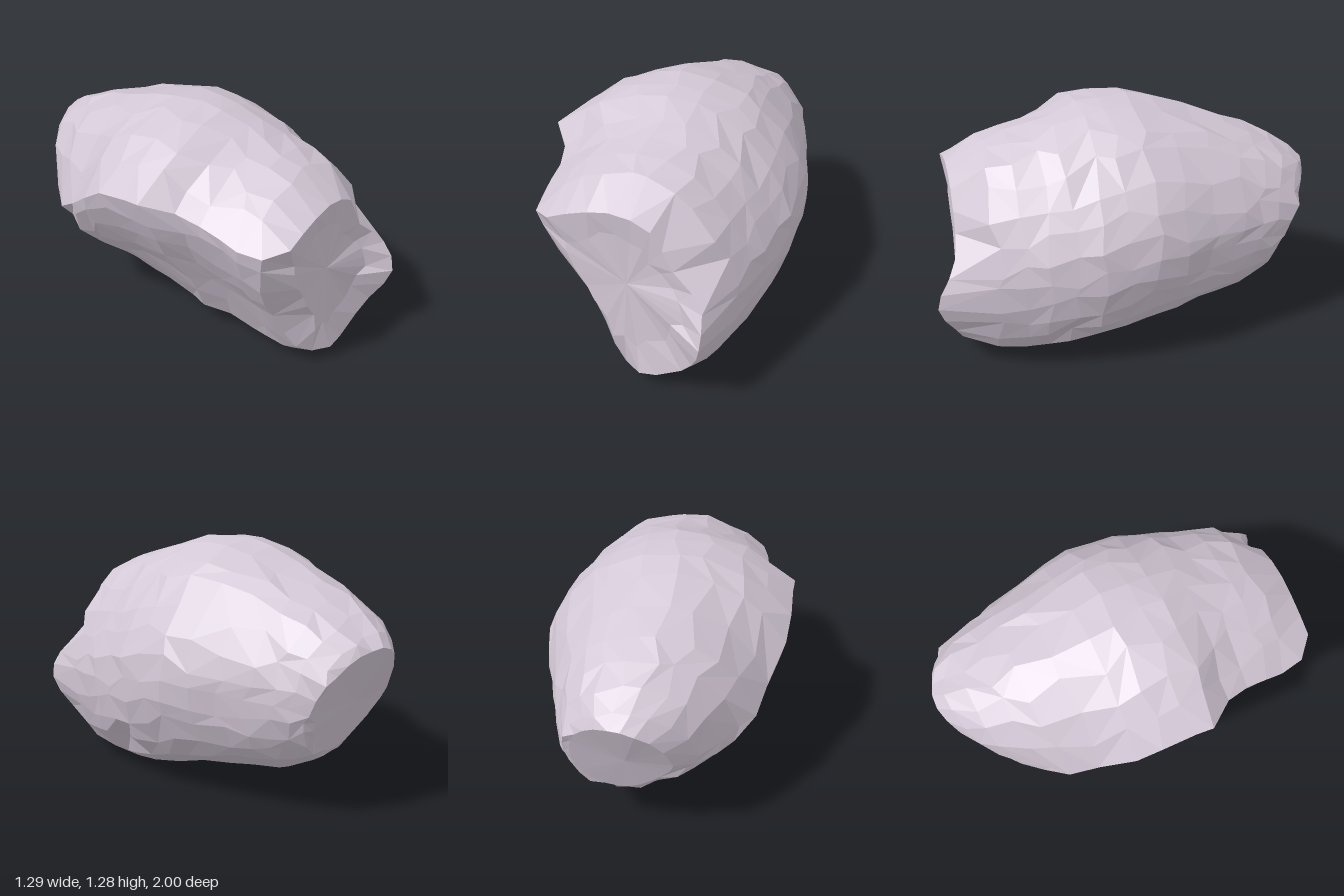
import * as THREE from 'three';

// Cross-section in 0..1, counter-clockwise seen from the front:
// rounded on the right and top, straight cut along the lower left
const FRONT_OUTLINE = [
  [1, .47], [.995, .56], [.955, .66], [.88, .78], [.8, .87], [.7, .945], [.58, .985], [.46, 1], [.34, .98],
  [.22, .94], [.11, .865], [0, .785], [.02, .71], [.085, .58], [.16, .46], [.245, .345], [.34, .18],
  [.41, .06], [.5, .004], [.6, 0], [.7, .015], [.85, .1], [.92, .19], [.968, .29], [.992, .38]
];

// Towards the rear the cut side swells into a round flank and the upper right fills out
const SHOULDER = [[.97, .68], [.91, .8], [.82, .89], [.71, .955]];
const FLANK = [
  [.33, .96], [.2, .88], [.08, .73], [0, .5], [.03, .4], [.09, .32],
  [.15, .25], [.23, .17], [.33, .09], [.42, .035], [.52, 0]
];
const REAR_OUTLINE = FRONT_OUTLINE.map((p, i) => SHOULDER[i - 2] ?? FLANK[i - 8] ?? p);
const CORNER = 11;

// Sections: z at top, z at bottom, xMin, xMax, yMin, yMax, share of the rear outline
const SECTIONS = [
  [-1.01, -.77, -.1, .4, .36, .9, 1],
  [-.93, -.71, -.22, .44, .31, .96, 1],
  [-.82, -.63, -.32, .475, .26, 1.03, 1],
  [-.7, -.54, -.4, .5, .21, 1.09, 1],
  [-.57, -.45, -.48, .535, .18, 1.14, 1],
  [-.4, -.34, -.53, .57, .16, 1.2, .75],
  [-.22, -.2, -.61, .615, .13, 1.26, .4],
  [-.06, -.06, -.63, .645, .11, 1.295, .2],
  [.08, .08, -.64, .645, .07, 1.295, .08],
  [.2, .2, -.645, .64, .035, 1.28, 0],
  [.34, .34, -.54, .61, .015, 1.23, 0],
  [.46, .46, -.515, .58, .005, 1.19, 0],
  [.58, .58, -.51, .545, 0, 1.16, 0],
  [.7, .7, -.51, .51, .01, 1.12, 0],
  [.87, .87, -.48, .42, .08, 1, 0]
];

function seeded(seed) {
  return () => {
    seed = (seed * 16807) % 2147483647;
    return seed / 2147483647;
  };
}

const bump = (dx, dy, wx, wy) => Math.exp(-dx * dx / wx - dy * dy / wy);

function createRock() {
  const rand = seeded(4711);
  const wobble = (a) => (rand() * 2 - 1) * a;
  const n = FRONT_OUTLINE.length;
  const last = SECTIONS.length - 1;

  // Rings of slightly irregular points
  const rings = SECTIONS.map(([zTop, zBottom, x0, x1, y0, y1, rear], i) => {
    const inner = i > 0 && i < last;
    const outline = FRONT_OUTLINE.map(([u, v], j) => new THREE.Vector2(u, v).lerp(new THREE.Vector2(...REAR_OUTLINE[j]), rear));
    return outline.map((p, j) => {
      const slide = inner && j !== CORNER ? wobble(.3) : 0;
      const q = p.clone().lerp(outline[(j + (slide > 0 ? 1 : n - 1)) % n], Math.abs(slide));
      const k = inner ? 1 - rand() * .012 : 1;
      const u = .5 + (q.x - .5) * k, v = .5 + (q.y - .5) * k;
      const z = zBottom + (zTop - zBottom) * v + (inner ? wobble(.025) : 0);
      return new THREE.Vector3(x0 + (x1 - x0) * u, y0 + (y1 - y0) * v, z);
    });
  });

  // Blunt rear end falls away to the right
  for (const p of rings[0]) p.z += .3 * Math.max(0, p.x - .08) * p.y;

  // Front rim: a lip juts out low on the right, the upper right is rounded off,
  // the upper left corner is raised
  for (const p of rings[last]) {
    const shoulder = bump(p.x - .32, p.y - .82, .03, .03);
    const corner = bump(p.x + .48, p.y - .8, .02, .02);
    p.z += .13 * bump(p.x - .41, p.y - .44, .05, .035);
    p.x -= .07 * shoulder;
    p.y += .07 * corner - .05 * shoulder;
  }

  // Slightly dished front face
  const hub = new THREE.Vector3(0, .6, .845);
  const dish = rings[last].map((p) => {
    const q = p.clone().lerp(hub, .34 + wobble(.07));
    q.z = .852 + (p.z - .87) * .4 + wobble(.006);
    return q;
  });
  rings.push(dish);

  // Bevel between the front face and the cut side
  for (let j = CORNER; j < 19; j++) {
    const w = Math.sin(Math.PI * (j - 10) / 9);
    rings[last][j].z -= .16 * w;
    rings[last - 1][j].z -= .07 * w;
  }
  rings[last][CORNER].z -= .03;

  // Small dents on the flank and the cut side
  rings[10][22].x -= .05;
  rings[4][12].x += .04;

  const positions = [];
  const tri = (...pts) => pts.forEach((p) => positions.push(p.x, p.y, p.z));
  for (let i = 0; i < rings.length - 1; i++) {
    for (let j = 0; j < n; j++) {
      const k = (j + 1) % n;
      const a = rings[i][j], b = rings[i][k], c = rings[i + 1][k], d = rings[i + 1][j];
      if (rand() < .5) {
        tri(a, b, c);
        tri(a, c, d);
      } else {
        tri(a, b, d);
        tri(b, c, d);
      }
    }
  }

  // Close both ends
  const tail = new THREE.Vector3(.13, .62, -.865);
  for (let j = 0; j < n; j++) {
    const k = (j + 1) % n;
    tri(hub, dish[j], dish[k]);
    tri(tail, rings[0][k], rings[0][j]);
  }

  const geometry = new THREE.BufferGeometry();
  geometry.setAttribute('position', new THREE.Float32BufferAttribute(positions, 3));
  geometry.computeVertexNormals();
  return geometry;
}

export function createModel() {
  const group = new THREE.Group();
  group.name = 'boulder';
  const material = new THREE.MeshStandardMaterial({ color: 0xd3c8d6, flatShading: true });
  const rock = new THREE.Mesh(createRock(), material);
  rock.name = 'rock';
  group.add(rock);
  return group;
}
